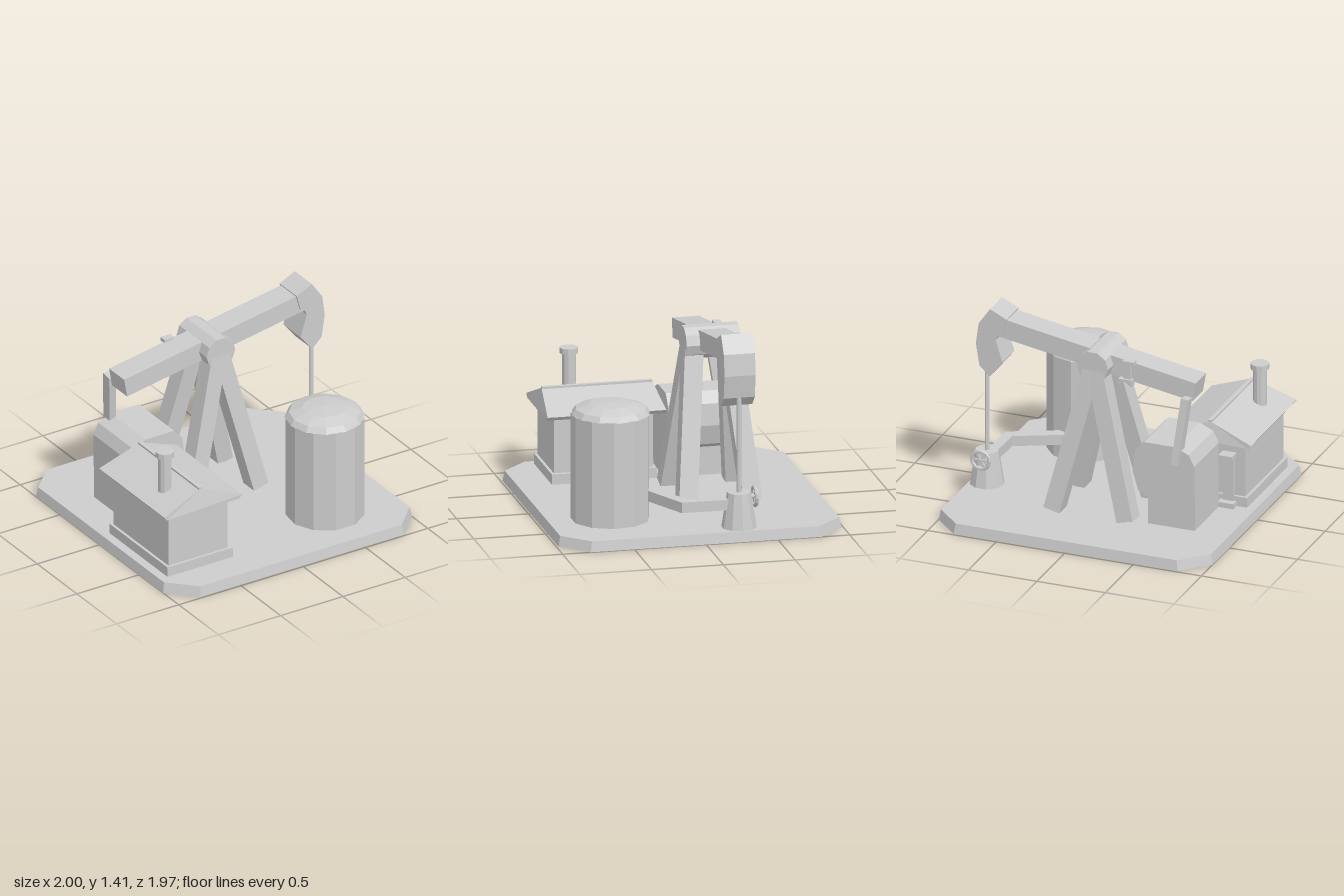
import * as THREE from 'three';

const steel = new THREE.MeshStandardMaterial({ color: 0xcccccc, flatShading: true, side: THREE.DoubleSide });
steel.name = 'plain grey';

const WELL_Z = -0.26; // centre line of the pump
const GROUND = 0.073; // top of the slab

// hollow slab with cut corners: tapered rim and top sheet, open underneath
function slabShell() {
  const W = 1, D = 0.985, C = 0.182, taper = 0.987;
  const outline = [[W - C, D], [W, D - C], [W, -D + C], [W - C, -D], [-W + C, -D], [-W, -D + C], [-W, D - C], [-W + C, D]];
  const low = outline.map(([x, z]) => [x, 0, z]);
  const high = outline.map(([x, z]) => [x * taper, GROUND, z * taper]);
  const corners = [];
  for (let i = 0; i < outline.length; i++) {
    const j = (i + 1) % outline.length;
    corners.push(...low[i], ...low[j], ...high[j], ...low[i], ...high[j], ...high[i]);
    corners.push(0, GROUND, 0, ...high[i], ...high[j]);
  }
  const geometry = new THREE.BufferGeometry();
  geometry.setAttribute('position', new THREE.Float32BufferAttribute(corners, 3));
  geometry.computeVertexNormals();
  return geometry;
}

export function createModel() {
  const root = new THREE.Group();
  root.name = 'oilPump';

  const add = (name, geometry, x = 0, y = 0, z = 0, parent = root) => {
    const mesh = new THREE.Mesh(geometry, steel);
    mesh.name = name;
    mesh.position.set(x, y, z);
    parent.add(mesh);
    return mesh;
  };
  // box given by its limits
  const box = (name, x0, x1, y0, y1, z0, z1) =>
    add(name, new THREE.BoxGeometry(x1 - x0, y1 - y0, z1 - z0), (x0 + x1) / 2, (y0 + y1) / 2, (z0 + z1) / 2);
  // outline in x, y extruded from z0 to z1
  const slab = (name, points, z0, z1) => {
    const shape = new THREE.Shape(points.map(p => new THREE.Vector2(...p)));
    return add(name, new THREE.ExtrudeGeometry(shape, { depth: z1 - z0, bevelEnabled: false }), 0, 0, z0);
  };
  // rectangular bar between two points
  const bar = (name, a, b, width, depth) => {
    const from = new THREE.Vector3(...a), to = new THREE.Vector3(...b);
    const dir = to.clone().sub(from);
    const mesh = add(name, new THREE.BoxGeometry(width, dir.length(), depth));
    mesh.position.copy(from).add(to).multiplyScalar(0.5);
    mesh.quaternion.setFromUnitVectors(new THREE.Vector3(0, 1, 0), dir.normalize());
    return mesh;
  };
  // faceted solid turned from radius, height pairs
  const turned = (name, points, sides, phi, x, z) =>
    add(name, new THREE.LatheGeometry(points.map(p => new THREE.Vector2(...p)), sides, phi), x, 0, z);

  add('groundSlab', slabShell());

  // engine house
  box('housePlinth', -0.925, -0.4, GROUND, 0.145, 0.01, 0.74);
  box('houseWalls', -0.905, -0.43, 0.145, 0.54, 0.03, 0.72);
  // roof: gable ends lean in towards the ridge
  const roof = slab('houseRoof', [[-0.955, 0.535], [-0.375, 0.535], [-0.352, 0.562], [-0.65, 0.678], [-0.68, 0.678],
    [-0.975, 0.562]], -0.045, 0.782);
  const roofPos = roof.geometry.attributes.position;
  for (let i = 0; i < roofPos.count; i++) {
    if (roofPos.getY(i) > 0.6) roofPos.setZ(i, roofPos.getZ(i) > 0.4 ? 0.797 : 0.025);
  }
  box('roofRidge', -0.68, -0.65, 0.665, 0.692, -0.018, 0.75);
  box('sideHood', -0.44, -0.4, 0.445, 0.492, 0.27, 0.6);
  box('sideWindow', -0.44, -0.402, 0.445, 0.492, 0.09, 0.25);
  for (const z of [0.28, 0.36]) box('sidePipe', -0.44, -0.405, 0.28, 0.43, z - 0.012, z + 0.012);
  box('door', -0.83, -0.75, GROUND, 0.43, 0, 0.035);
  box('doorHood', -0.84, -0.74, 0.43, 0.46, -0.055, 0.035);
  box('doorStep', -0.85, -0.73, 0.02, 0.11, -0.05, 0.02);

  // chimney
  add('chimney', new THREE.CylinderGeometry(0.048, 0.048, 0.32, 10), -0.81, 0.73, 0.525);
  add('chimneyCap', new THREE.CylinderGeometry(0.065, 0.065, 0.038, 10), -0.81, 0.896, 0.525);

  // gearbox housing with a polygonal drum on a block
  box('gearboxBlock', -0.74, -0.4, GROUND, 0.45, -0.478, -0.045);
  slab('gearboxDrum', [[-0.62, 0.26], [-0.42, 0.26], [-0.33, 0.31], [-0.288, 0.45], [-0.305, 0.6], [-0.372, 0.675],
    [-0.6, 0.675], [-0.7, 0.63], [-0.74, 0.55], [-0.74, 0.31]], -0.487, -0.045);

  // A-frame: four leaning legs
  for (const sx of [-1, 1]) {
    for (const sz of [-1, 1]) {
      bar('frameLeg', [0.012 + sx * 0.268, GROUND + 0.006, WELL_Z + sz * 0.226],
        [0.018 + sx * 0.012, 1.12, WELL_Z + sz * 0.125], 0.12, 0.13);
    }
  }

  // pivot bearing, flat side up
  add('pivotBearing', new THREE.CylinderGeometry(0.115, 0.115, 0.38, 10).rotateY(Math.PI / 10).rotateX(Math.PI / 2),
    0.02, 1.147, WELL_Z);

  // walking beam, sloping up towards the head
  const beam = add('walkingBeam', new THREE.BoxGeometry(1.465, 0.137, 0.19), 0.037, 1.165, WELL_Z);
  beam.rotation.z = 0.17;
  slab('horseHead', [[0.68, 1.355], [0.71, 1.245], [0.745, 1.225], [0.76, 1.19], [0.71, 1.03], [0.805, 0.912],
    [0.88, 0.985], [0.905, 1.145], [0.885, 1.295], [0.802, 1.414]], -0.367, -0.15);

  // clamp on the back of the beam
  box('beamClampTop', -0.26, -0.18, 1.18, 1.205, -0.395, -0.34);
  box('beamClampPlate', -0.23, -0.18, 1.06, 1.2, -0.38, -0.35);
  slab('beamClampFoot', [[-0.245, 1.02], [-0.19, 1.055], [-0.145, 1.02], [-0.145, 1.07], [-0.245, 1.07]], -0.395, -0.34);

  // pitman arm, leaning inwards
  bar('pitmanArm', [-0.608, 0.55, -0.485], [-0.655, 1.02, -0.417], 0.053, 0.078);

  // wellhead and pump rod
  add('wellhead', new THREE.CylinderGeometry(0.082, 0.121, 0.245, 10).rotateY(Math.PI / 10), 0.867, GROUND + 0.1225, WELL_Z);
  add('pumpRod', new THREE.CylinderGeometry(0.017, 0.017, 0.82, 8), 0.866, 0.68, WELL_Z);

  // valve handwheel on the back of the wellhead
  const wheel = new THREE.Group();
  wheel.name = 'valveWheel';
  wheel.position.set(0.87, 0.282, -0.369);
  root.add(wheel);
  add('wheelRim', new THREE.TorusGeometry(0.064, 0.014, 6, 14), 0, 0, 0, wheel);
  for (let i = 0; i < 3; i++) {
    add('wheelSpoke', new THREE.BoxGeometry(0.128, 0.014, 0.012), 0, 0, 0, wheel).rotation.z = i * Math.PI / 3;
  }
  add('wheelStem', new THREE.CylinderGeometry(0.016, 0.016, 0.1, 6).rotateX(Math.PI / 2), 0, 0, 0.03, wheel);

  // square flow pipe from tank to wellhead, mitred at the bend
  const pipe = new THREE.Shape([
    [0.47, 0.26], [0.825, 0.09], [0.83, -0.25], [0.902, -0.25], [0.895, 0.145], [0.516, 0.326],
  ].map(([x, z]) => new THREE.Vector2(x, -z)));
  add('flowPipe', new THREE.ExtrudeGeometry(pipe, { depth: 0.074, bevelEnabled: false }).rotateX(-Math.PI / 2), 0, 0.202, 0);

  // storage tank with a shallow dome
  turned('tankBody', [[0, GROUND], [0.27, GROUND], [0.27, 0.818], [0, 0.818]], 11, Math.PI / 11, 0.467, 0.542);
  turned('tankDome', [[0, 0.815], [0.272, 0.815], [0.245, 0.853], [0.15, 0.885], [0, 0.896]], 12, 0, 0.466, 0.538);

  return root;
}
